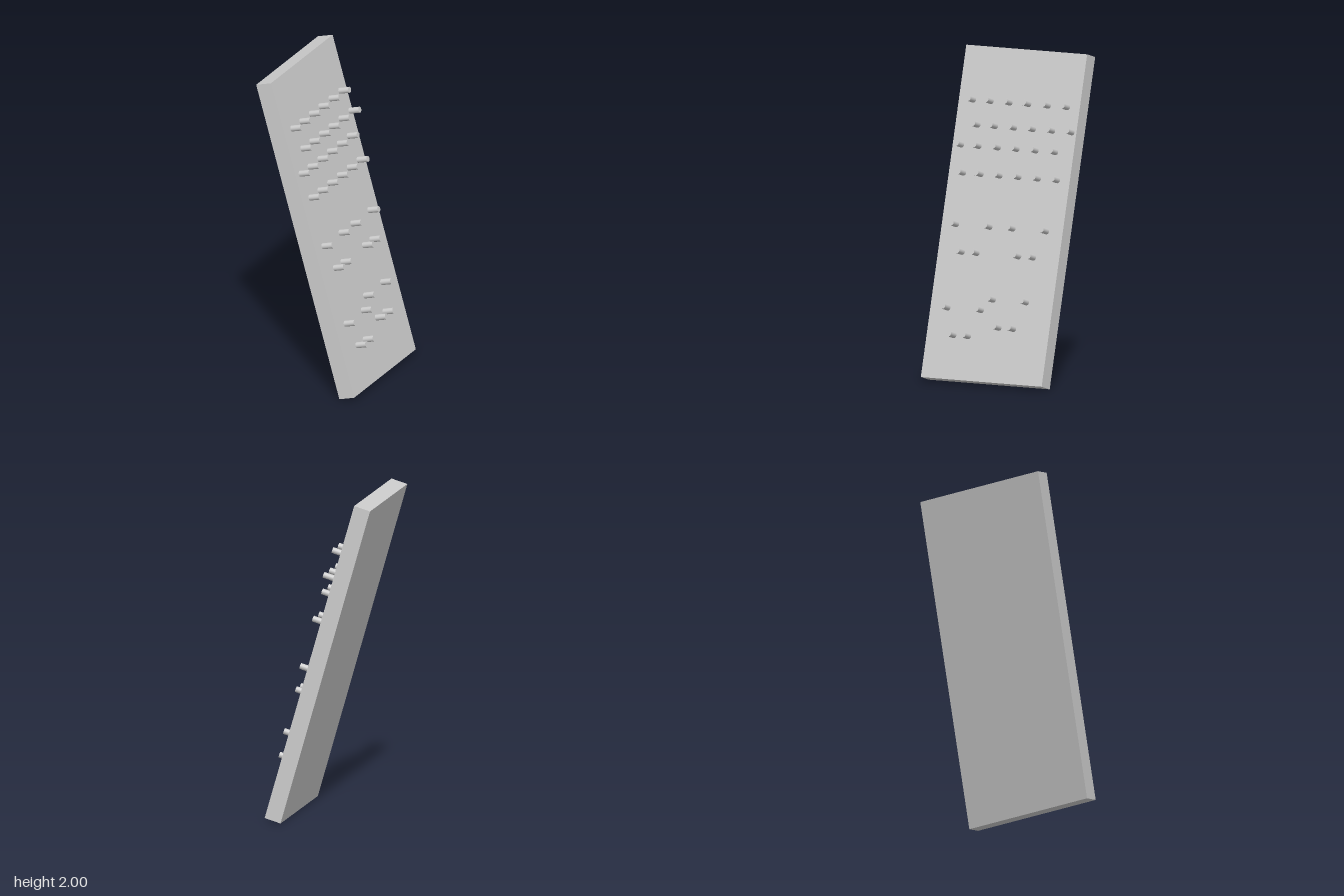
import * as THREE from 'three';

const TILT = THREE.MathUtils.degToRad(16);
const LENGTH = 2.051, THICKNESS = 0.104, WIDTH = 0.843;
const PEG_RADIUS = 0.0185, PEG_LENGTH = 0.07;

// Peg rows: height of the row's peg centres, then the z of each peg
const ROWS = [
  [1.69, [0.32, 0.197, 0.065, -0.065, -0.202, -0.335]],
  [1.545, [0.266, 0.144, 0.01, -0.12, -0.255, -0.39]],
  [1.421, [0.36, 0.238, 0.104, -0.027, -0.16, -0.296]],
  [1.257, [0.32, 0.197, 0.065, -0.067, -0.202, -0.335]],
  [0.952, [0.32, 0.086, -0.074, -0.307]],
  [0.792, [0.254, 0.151, -0.14, -0.242]],
  [0.526, [-0.005, -0.237]],
  [0.459, [0.3, 0.067]],
  [0.364, [-0.071, -0.173]],
  [0.3, [0.233, 0.132]],
];

export function createModel() {
  const grey = new THREE.MeshStandardMaterial({ color: 0xcccccc });
  grey.name = 'light grey';

  const model = new THREE.Group();
  model.name = 'pegBoard';

  // Everything is built upright, then leaned over as one piece
  const leaning = new THREE.Group();
  leaning.name = 'leaningBoard';
  leaning.position.y = 1;
  leaning.rotation.z = TILT;
  model.add(leaning);

  const board = new THREE.Mesh(new THREE.BoxGeometry(THICKNESS, LENGTH, WIDTH), grey);
  board.name = 'board';
  leaning.add(board);

  // Round pegs standing square to the board's face
  const pegGeometry = new THREE.CylinderGeometry(PEG_RADIUS, PEG_RADIUS, PEG_LENGTH, 24);
  pegGeometry.rotateZ(-Math.PI / 2);
  const out = THICKNESS / 2 + PEG_LENGTH / 2;

  ROWS.forEach(([height, zs], i) => {
    const row = new THREE.Group();
    row.name = `pegRow${i + 1}`;
    const along = (height - 1 - out * Math.sin(TILT)) / Math.cos(TILT);
    for (const z of zs) {
      const peg = new THREE.Mesh(pegGeometry, grey);
      peg.name = 'peg';
      peg.position.set(out, along, z);
      row.add(peg);
    }
    leaning.add(row);
  });

  return model;
}
